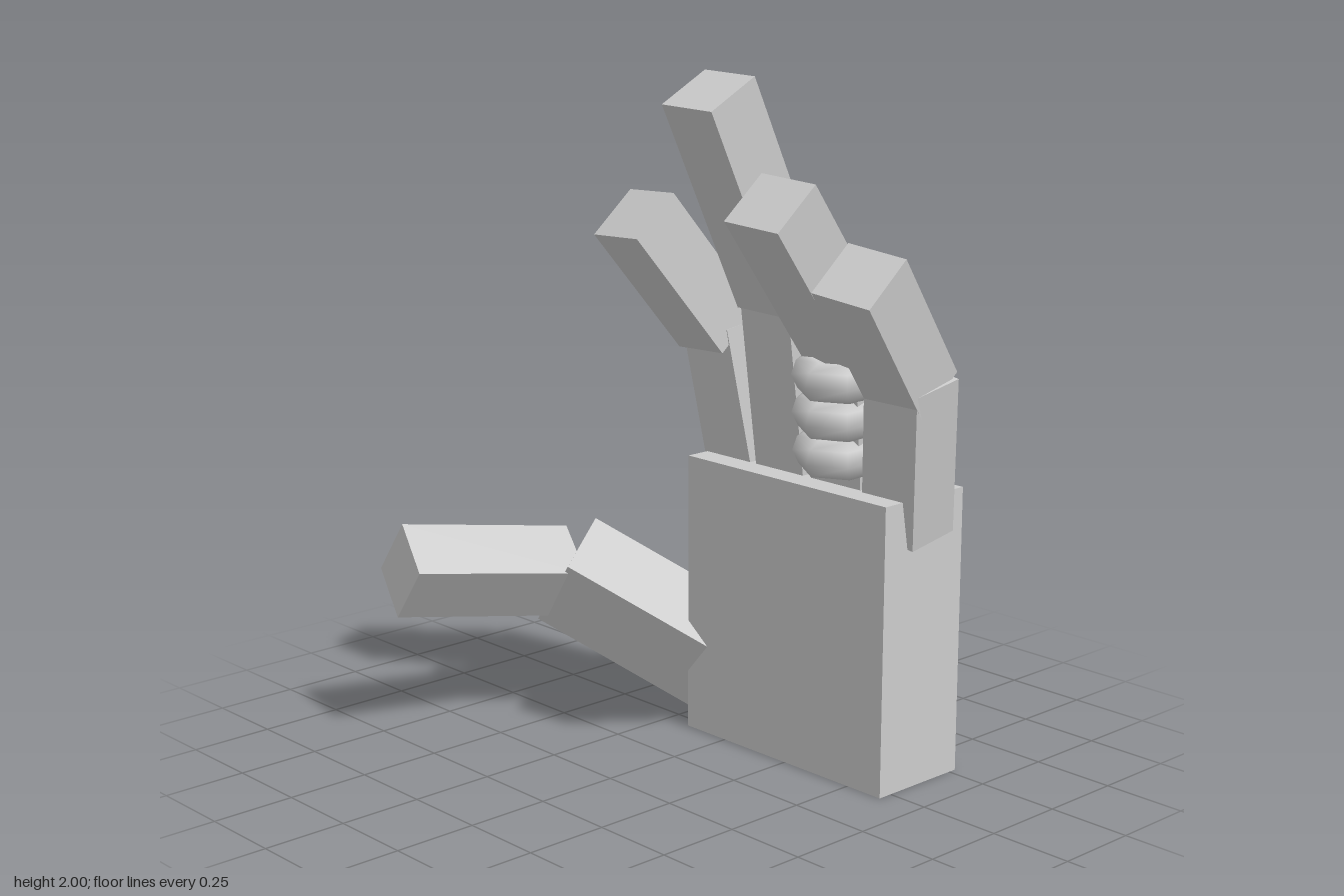
import * as THREE from 'three';

const grey = new THREE.MeshStandardMaterial({ color: 0xcccccc });
const V = (a) => new THREE.Vector3(...a);

// Rotation whose y axis runs from base to tip and whose x axis stays near `side`
function orient(base, tip, side) {
  const y = V(tip).sub(V(base)).normalize();
  const z = V(side).cross(y).normalize();
  const x = y.clone().cross(z);
  return new THREE.Matrix4().makeBasis(x, y, z);
}

// Box bone between the centres of its two end faces
function bone(name, base, tip, width, depth, side = [1, 0, 0]) {
  const a = V(base), b = V(tip);
  const mesh = new THREE.Mesh(new THREE.BoxGeometry(width, a.distanceTo(b), depth), grey);
  mesh.name = name;
  mesh.quaternion.setFromRotationMatrix(orient(base, tip, side));
  mesh.position.copy(a.add(b).multiplyScalar(0.5));
  return mesh;
}

export function createModel() {
  const hand = new THREE.Group();
  hand.name = 'hand';

  // Palm block
  const palm = new THREE.Mesh(new THREE.BoxGeometry(0.785, 0.845, 0.32), grey);
  palm.name = 'palm';
  palm.position.set(0.232, 0.4225, -0.365);
  hand.add(palm);

  // Fingers: lower bone base and tip, then upper bone base and tip
  const fingers = {
    indexFinger: [[-0.065, 0.72, -0.39], [-0.105, 1.25, -0.30], [-0.105, 1.23, -0.27], [-0.134, 1.59, 0.032]],
    middleFinger: [[0.135, 0.72, -0.39], [0.153, 1.39, -0.28], [0.152, 1.36, -0.273], [0.176, 1.957, 0.04]],
    ringFinger: [[0.35, 0.72, -0.39], [0.395, 1.29, -0.30], [0.395, 1.25, -0.29], [0.444, 1.685, 0.072]],
    littleFinger: [[0.549, 0.733, -0.379], [0.622, 1.19, -0.30], [0.61, 1.16, -0.315], [0.682, 1.511, -0.018]],
  };
  for (const [name, [a, b, c, d]] of Object.entries(fingers)) {
    const finger = new THREE.Group();
    finger.name = name;
    finger.add(bone('lowerBone', a, b, 0.19, 0.17), bone('upperBone', c, d, 0.19, 0.18));
    hand.add(finger);
  }

  // Thumb, rolled outward and reaching forward
  const thumb = new THREE.Group();
  thumb.name = 'thumb';
  thumb.add(
    bone('lowerBone', [-0.112, 0.147, -0.392], [-0.527, 0.45, -0.04], 0.245, 0.254, [0.104, -0.09, 0.2]),
    bone('upperBone', [-0.522, 0.447, -0.025], [-0.645, 0.527, 0.5], 0.19, 0.198, [0.15, -0.11, 0.05]),
  );
  hand.add(thumb);

  // Three oval rings stacked along the ring finger
  const ringShape = new THREE.TorusGeometry(0.128, 0.058, 8, 8).rotateX(Math.PI / 2).scale(0.81, 1, 1);
  const [base, tip] = fingers.ringFinger;
  const tilt = orient(base, tip, [1, 0, 0]);
  [[0.364, 0.95, -0.345], [0.376, 1.065, -0.328], [0.388, 1.177, -0.312]].forEach((p, i) => {
    const ring = new THREE.Mesh(ringShape, grey);
    ring.name = `fingerRing${i + 1}`;
    ring.quaternion.setFromRotationMatrix(tilt);
    ring.position.set(...p);
    hand.add(ring);
  });

  return hand;
}
